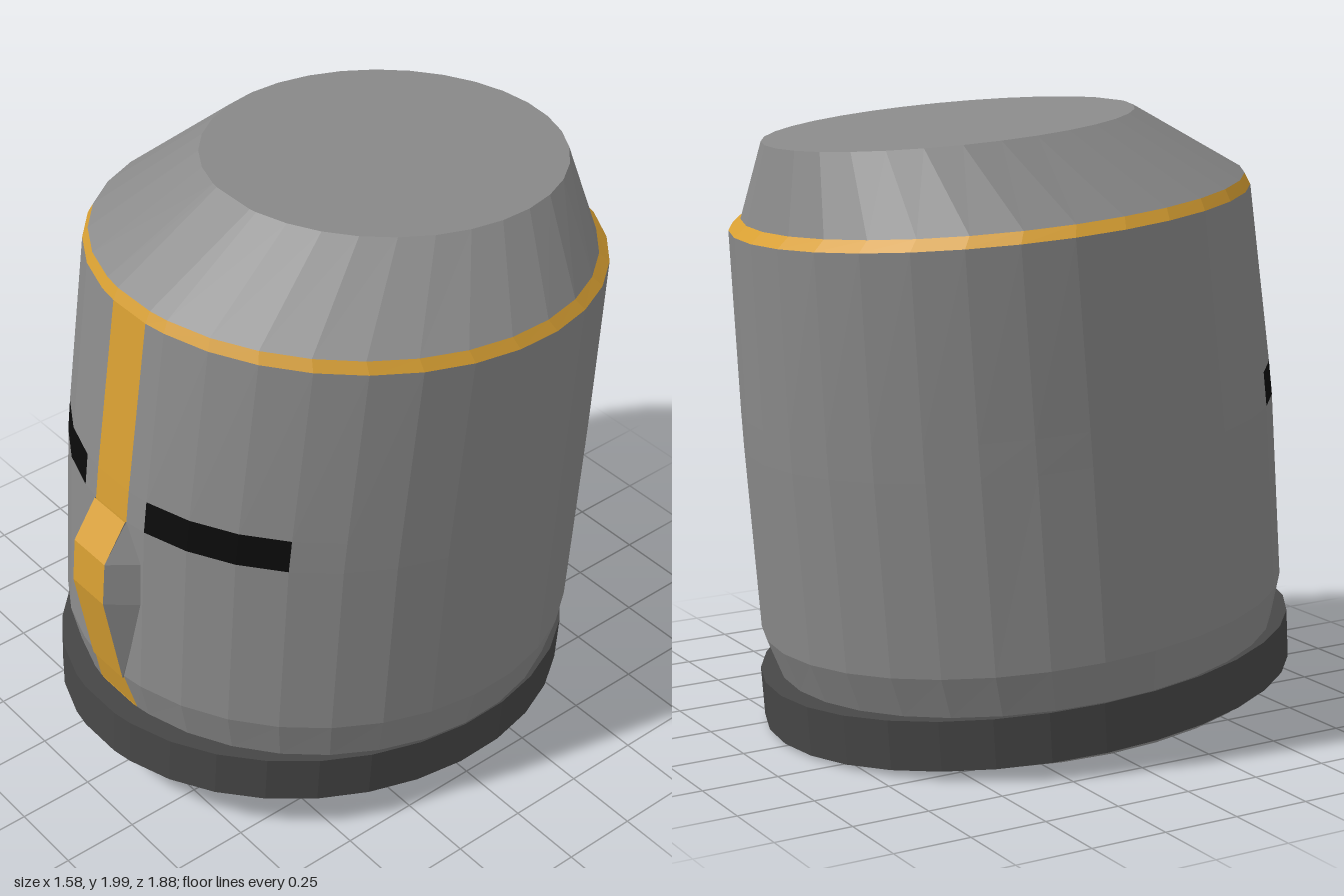
import * as THREE from 'three';

const SEG = 32;
const mat = (name, color) => {
  const m = new THREE.MeshStandardMaterial({ color, flatShading: true, side: THREE.DoubleSide });
  m.name = name;
  return m;
};

// Tilted elliptical ring: front z/y, back z/y, half width, half width of the front stripe
function ring([zf, yf, zb, yb, hw, stripe = 0.08]) {
  const a = hw > 0.2 ? Math.asin(stripe / hw) : 0.1;
  const angles = [-a, a];
  for (let i = 1; i < SEG; i++) angles.push((i * 2 * Math.PI) / SEG);
  return angles.map((t) => {
    const c = Math.cos(t);
    return [
      hw * Math.sin(t),
      (yf + yb) / 2 + ((yf - yb) / 2) * c,
      (zf + zb) / 2 + ((zf - zb) / 2) * c,
    ];
  });
}

function quadMesh(name, quads, material) {
  const pos = [];
  for (const [a, b, c, d] of quads) pos.push(...a, ...b, ...c, ...a, ...c, ...d);
  const g = new THREE.BufferGeometry();
  g.setAttribute('position', new THREE.Float32BufferAttribute(pos, 3));
  g.computeVertexNormals();
  const mesh = new THREE.Mesh(g, material);
  mesh.name = name;
  return mesh;
}

// Skin between successive rings, keeping only the cells that pick(row, column) accepts
function loft(name, profile, material, pick = () => true) {
  const rings = profile.map(ring);
  const n = SEG + 1;
  const quads = [];
  for (let i = 0; i < rings.length - 1; i++) {
    for (let k = 0; k < n; k++) {
      const m = (k + 1) % n;
      if (pick(i, k)) quads.push([rings[i][k], rings[i][m], rings[i + 1][m], rings[i + 1][k]]);
    }
  }
  return quadMesh(name, quads, material);
}

export function createModel() {
  const steel = mat('steel grey', 0x8a8a8a);
  const gold = mat('gold', 0xd69e32);
  const dark = mat('dark iron', 0x474747);
  const black = mat('black', 0x0b0b0b);
  const helmet = new THREE.Group();
  helmet.name = 'helmet';

  // Shell, from the bottom lip to the centre of the flat crown
  const shell = [
    [0.87, 0.15, -0.76, 0.008, 0.745, 0.1],
    [0.86, 0.33, -0.8, 0.18, 0.765, 0.1],
    [0.89, 0.47, -0.855, 0.31, 0.79],
    [0.845, 1.075, -0.905, 0.92, 0.79],
    [0.83, 1.185, -0.912, 1.03, 0.79],
    [0.738, 1.762, -0.94, 1.61, 0.79],
    [0.72, 1.798, -0.9, 1.645, 0.765],
    [0.35, 2.0, -0.85, 1.895, 0.535],
    [-0.25, 1.9475, -0.25, 1.9475, 0],
  ];
  const isGold = (i, k) => i === 5 || (i < 5 && k === 0);
  const isSlit = (i, k) => i === 3 && ((k >= 2 && k <= 4) || (k >= 29 && k <= 31));
  helmet.add(
    loft('shell', shell, steel, (i, k) => !isGold(i, k) && !isSlit(i, k)),
    loft('goldTrim', shell, gold, isGold),
    loft('eyeSlits', shell, black, isSlit),
  );

  // Raised nose guard: gold ridge with a steel flank on each side
  const ridge = [[0.1, 0.462, 0.89], [0.08, 0.8, 0.945], [0.08, 0.95, 0.93], [0.08, 1.075, 0.846]];
  const foot = [[0.1, 0.462, 0.885], [0.15, 0.79, 0.845], [0.15, 0.945, 0.83], [0.08, 1.075, 0.84]];
  ridge[0][0] = foot[0][0] = 0.08;
  const flip = ([x, y, z]) => [-x, y, z];
  const front = [];
  const sides = [];
  for (let i = 0; i < 3; i++) {
    const [a, b, c, d] = [ridge[i], foot[i], foot[i + 1], ridge[i + 1]];
    front.push([flip(a), a, d, flip(d)]);
    sides.push([a, b, c, d], [flip(d), flip(c), flip(b), flip(a)]);
  }
  helmet.add(quadMesh('noseRidge', front, gold), quadMesh('noseFlanks', sides, steel));

  // Neck band around the base
  helmet.add(loft('neckBand', [
    [0.87, 0.175, -0.765, 0.025, 0.748],
    [0.945, 0.175, -0.855, 0.015, 0.768],
    [0.935, 0.335, -0.867, 0.175, 0.77],
    [0.86, 0.33, -0.8, 0.18, 0.762],
  ], dark));

  // Inner lining, open at the front stripe and at the back
  helmet.add(loft('lining', [
    [0.858, 0.172, -0.752, 0.03, 0.735, 0.1],
    [0.848, 0.33, -0.788, 0.18, 0.752, 0.1],
  ], dark, (i, k) => k !== 0 && k !== 16 && k !== 17));

  return helmet;
}
